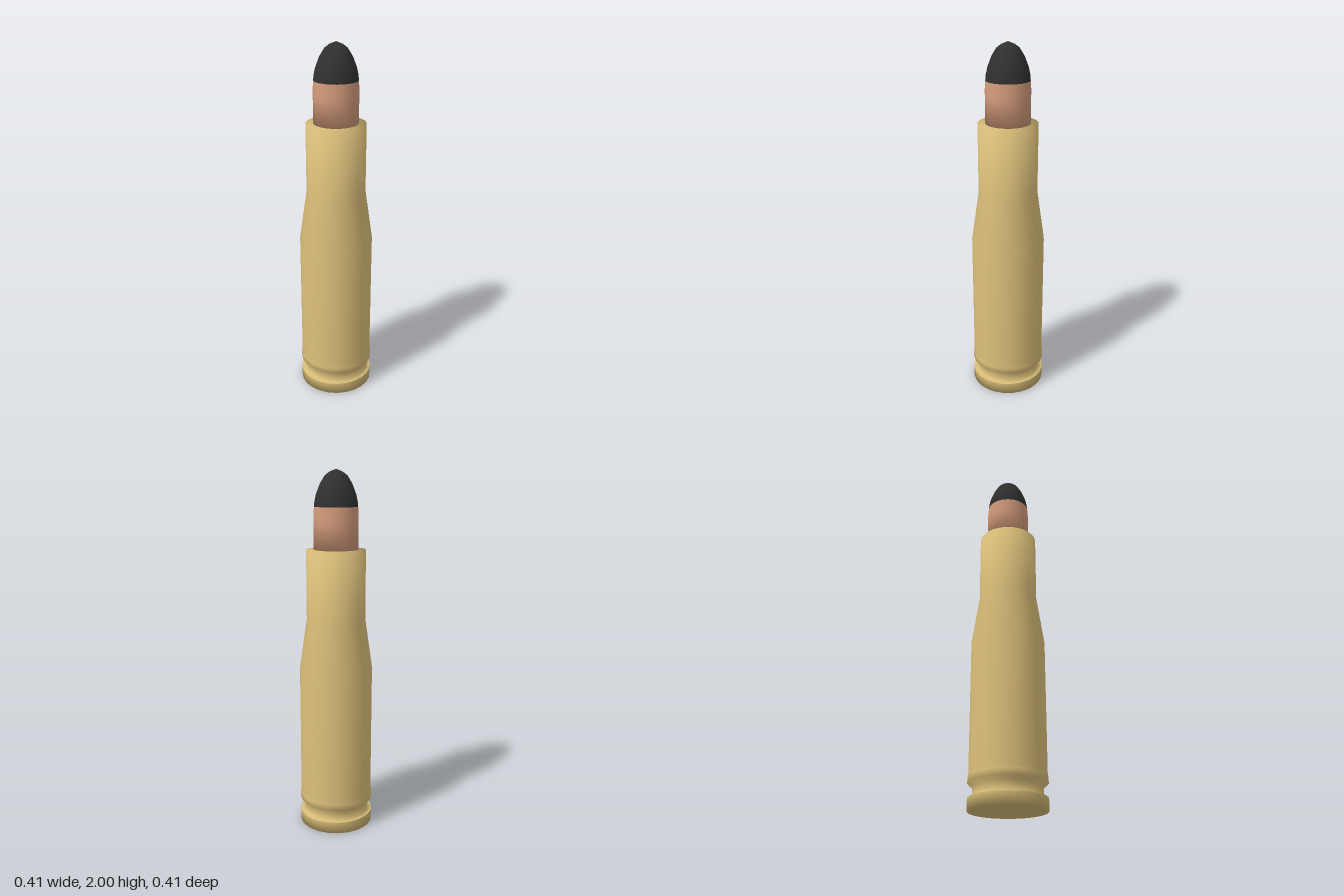
import * as THREE from 'three';

const SIDES = 24;

function material(name, color) {
  const m = new THREE.MeshStandardMaterial({ color });
  m.name = name;
  return m;
}

// Turns a bottom-to-top [radius, height] profile into a smooth solid
function turned(name, profile, mat) {
  const points = profile.map(([r, y]) => new THREE.Vector2(r, y));
  const mesh = new THREE.Mesh(new THREE.LatheGeometry(points, SIDES), mat);
  mesh.name = name;
  return mesh;
}

export function createModel() {
  const brass = material('brass', 0xdcc07a);
  const copper = material('copper', 0xd49b7c);
  const black = material('black', 0x303030);

  const model = new THREE.Group();
  model.name = 'cartridge';

  model.add(
    // Base disc and rim, up to the sharp upper edge
    turned('rim', [[0, 0], [0.207, 0], [0.207, 0.065]], brass),
    // Groove, lip, tapered body, shoulder, neck and flat mouth
    turned('case', [
      [0.207, 0.065], [0.182, 0.068], [0.182, 0.12], [0.207, 0.14],
      [0.207, 0.175], [0.203, 0.19], [0.203, 0.92], [0.162, 1.2],
      [0.162, 1.58], [0, 1.58],
    ], brass),
    // Jacket seated in the mouth
    turned('jacket', [[0, 1.57], [0.121, 1.57], [0.121, 1.72], [0.121, 1.76], [0.118, 1.805]], copper),
    // Rounded tip
    turned('tip', [
      [0.118, 1.803], [0.115, 1.835], [0.107, 1.87], [0.086, 1.925],
      [0.06, 1.967], [0.035, 1.986], [0, 2],
    ], black),
  );
  return model;
}
